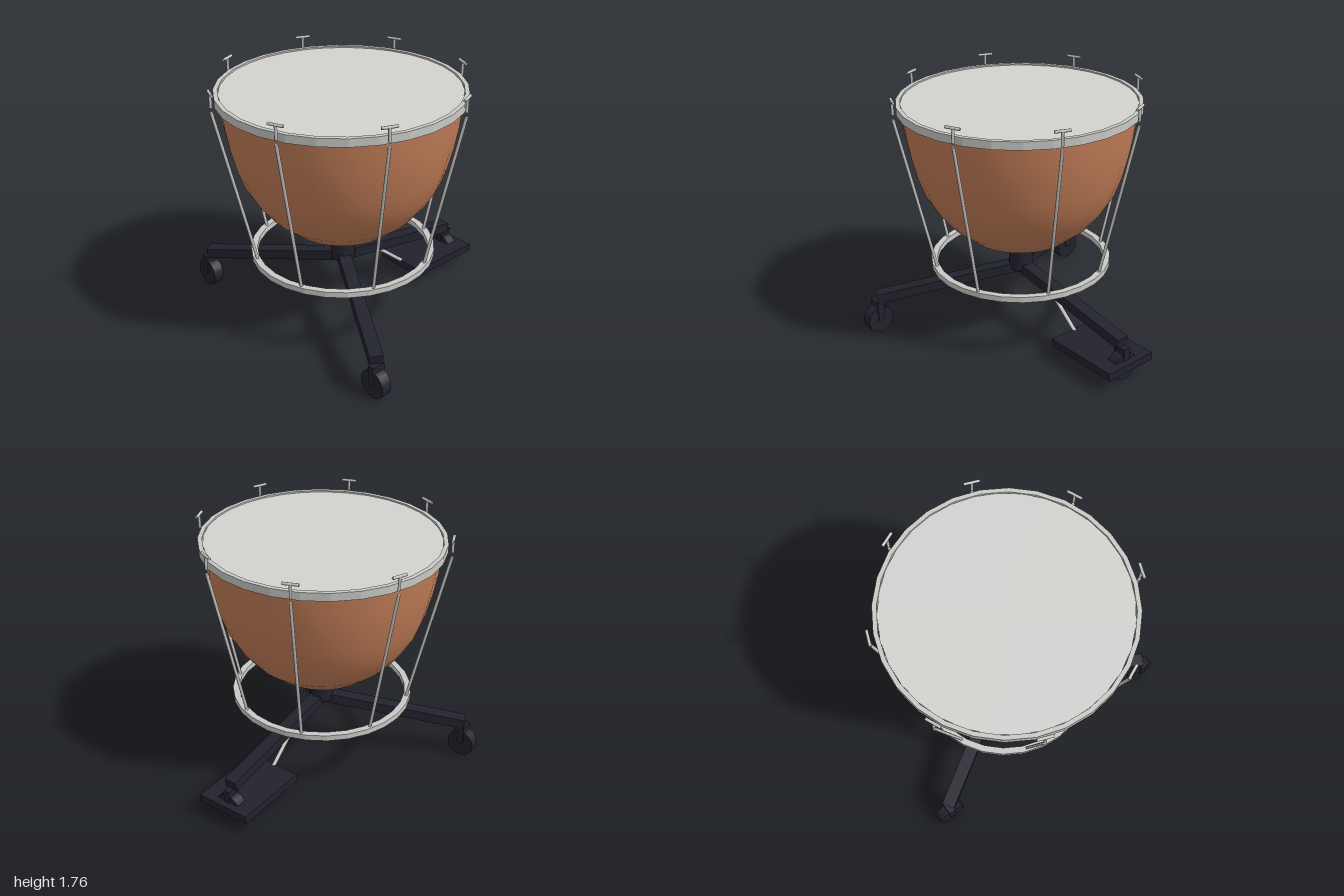
import * as THREE from 'three';

const copper = new THREE.MeshStandardMaterial({ name: 'copper', color: 0xc27d57 });
const metal = new THREE.MeshStandardMaterial({ name: 'brightMetal', color: 0xc8cac6 });
const skin = new THREE.MeshStandardMaterial({ name: 'drumSkin', color: 0xd4d2cf });
const dark = new THREE.MeshStandardMaterial({ name: 'darkFrame', color: 0x22222e });

function add(parent, name, geometry, material, x = 0, y = 0, z = 0) {
  const mesh = new THREE.Mesh(geometry, material);
  mesh.name = name;
  mesh.position.set(x, y, z);
  parent.add(mesh);
  return mesh;
}

// Faceted ring with a rectangular section
function hoop(inner, outer, y0, y1) {
  const section = [[inner, y0], [outer, y0], [outer, y1], [inner, y1], [inner, y0]];
  const g = new THREE.LatheGeometry(section.map(([r, y]) => new THREE.Vector2(r, y)), 28).toNonIndexed();
  g.computeVertexNormals();
  return g;
}

// Straight round bar between two points
function bar(parent, name, a, b, radius) {
  const dir = b.clone().sub(a);
  const mesh = add(parent, name, new THREE.CylinderGeometry(radius, radius, dir.length(), 8), metal);
  mesh.position.copy(a).lerp(b, 0.5);
  mesh.quaternion.setFromUnitVectors(new THREE.Vector3(0, 1, 0), dir.normalize());
  return mesh;
}

export function createModel() {
  const model = new THREE.Group();
  model.name = 'kettledrum';

  // Everything is arranged around the drum's axis
  const drum = new THREE.Group();
  drum.name = 'drum';
  drum.position.z = 0.15;
  model.add(drum);

  // Kettle bowl, skin and hoops
  const profile = [[0, 0.59], [0.08, 0.595], [0.225, 0.65], [0.37, 0.71], [0.505, 0.823], [0.6, 0.94],
    [0.667, 1.055], [0.715, 1.19], [0.752, 1.34], [0.78, 1.49], [0.795, 1.66]];
  add(drum, 'bowl', new THREE.LatheGeometry(profile.map(([r, y]) => new THREE.Vector2(r, y)), 32), copper);
  add(drum, 'drumHead', new THREE.CylinderGeometry(0.797, 0.797, 0.02, 32), skin, 0, 1.67, 0);
  add(drum, 'rim', hoop(0.8, 0.83, 1.635, 1.69), metal);
  add(drum, 'lowerRing', hoop(0.595, 0.64, 0.48, 0.52), metal);
  add(drum, 'hub', new THREE.CylinderGeometry(0.085, 0.085, 0.18, 20), dark, 0, 0.51, 0);

  // Eight tension rods, each with a T-shaped tuning key above
  for (let i = 0; i < 8; i++) {
    const angle = (i + 0.5) * Math.PI / 4;
    const at = (r, y) => new THREE.Vector3(r * Math.sin(angle), y, r * Math.cos(angle));
    bar(drum, 'tensionRod', at(0.61, 0.5), at(0.86, 1.63), 0.011);
    bar(drum, 'tuningKeyStem', at(0.86, 1.66), at(0.86, 1.755), 0.01);
    const side = new THREE.Vector3(Math.cos(angle), 0, -Math.sin(angle)).multiplyScalar(0.053);
    const top = at(0.86, 1.755);
    bar(drum, 'tuningKeyHandle', top.clone().sub(side), top.clone().add(side), 0.01);
  }

  // Three sloping legs ending in casters
  const reach = 1.04, drop = 0.172;
  for (const angle of [Math.PI / 3, Math.PI, -Math.PI / 3]) {
    const leg = new THREE.Group();
    leg.name = 'leg';
    leg.rotation.y = angle;
    drum.add(leg);
    const beam = add(leg, 'legBeam', new THREE.BoxGeometry(0.09, 0.07, Math.hypot(reach, drop)), dark, 0, 0.44 - drop / 2, reach / 2);
    beam.rotation.x = Math.atan2(drop, reach);

    const x = reach * Math.sin(angle), z = reach * Math.cos(angle);
    add(drum, 'casterFork', new THREE.BoxGeometry(0.048, 0.14, 0.095), dark, x, 0.17, z);
    const wheel = add(drum, 'casterWheel', new THREE.CylinderGeometry(0.1, 0.1, 0.075, 20), dark, x, 0.1, z);
    wheel.rotation.x = Math.PI / 2;
  }

  // Tuning pedal and its linkage
  add(model, 'pedal', new THREE.BoxGeometry(0.395, 0.055, 0.56), dark, 0, 0.123, -0.7);
  bar(model, 'pedalRod', new THREE.Vector3(0, 0.14, -0.435), new THREE.Vector3(0, 0.42, -0.1), 0.014);

  return model;
}
